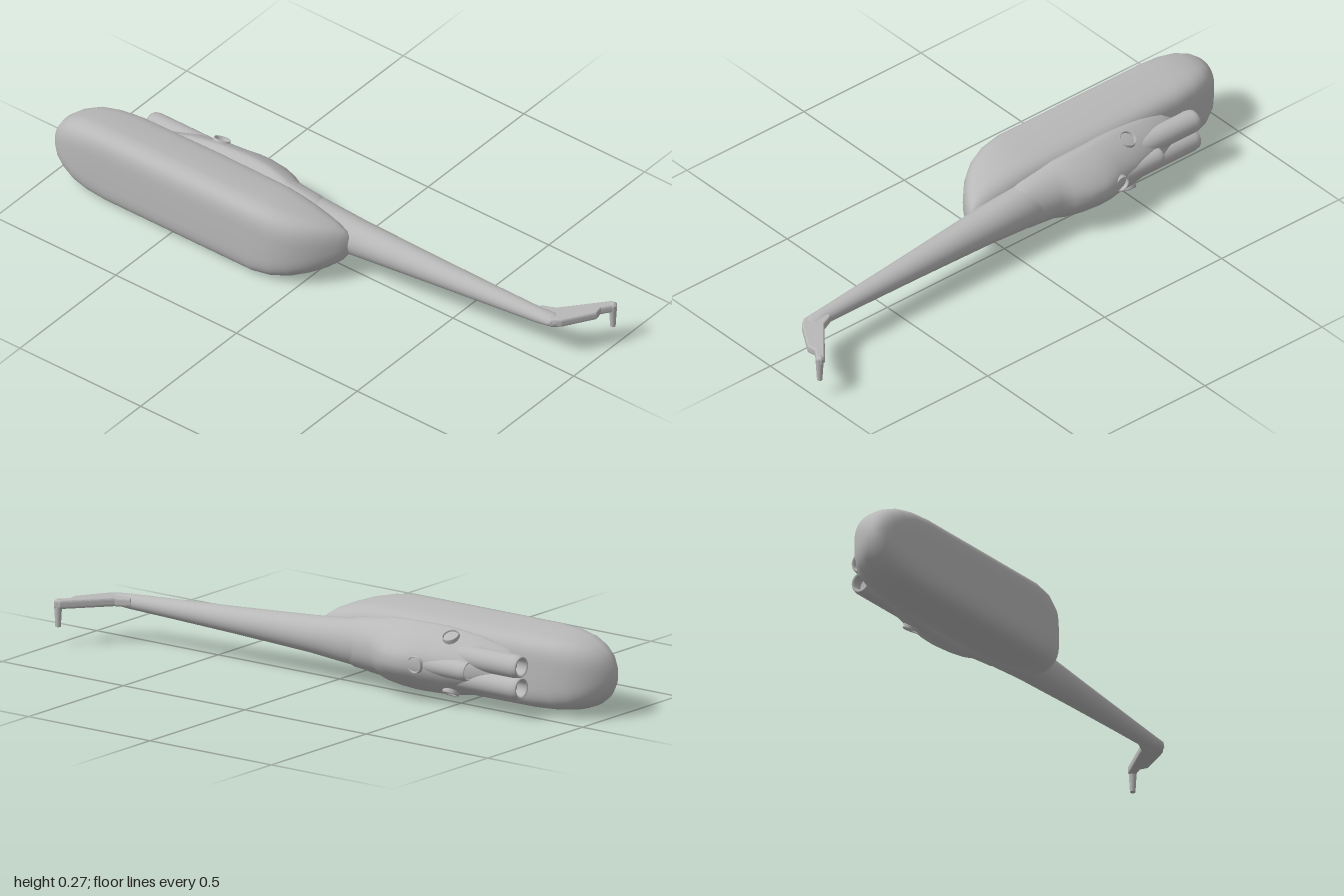
import * as THREE from 'three';

const grey = new THREE.MeshStandardMaterial({ color: 0xb8b8b8 });
grey.name = 'plain grey';
const CY = 0.137; // height of the centre plane

// Loft along x. Each section: [x, half width, roof z, belly z, squareness, roof taper, centre y]
function loft(sections, n = 56) {
  const pos = [], idx = [];
  const p = (v, e) => Math.sign(v) * Math.pow(Math.abs(v), e);
  for (const [x, w, z0, z1, e = 2, k = 0, cy = CY] of sections) {
    for (let j = 0; j < n; j++) {
      const t = (j / n) * Math.PI * 2;
      const v = p(Math.sin(t), 2 / e);
      const narrow = 1 - k * Math.max(0, 0.25 - v) / 1.25;
      pos.push(x, cy + p(Math.cos(t), 2 / e) * w * narrow, (z0 + z1) / 2 + v * (z1 - z0) / 2);
    }
  }
  const last = (sections.length - 1) * n, c = sections.length * n;
  for (let i = 0; i < last; i += n) {
    for (let j = 0; j < n; j++) {
      const k = (j + 1) % n;
      idx.push(i + j, i + k, i + n + j, i + k, i + n + k, i + n + j);
    }
  }
  // closed ends
  for (const s of [sections[0], sections[sections.length - 1]]) pos.push(s[0], s[6] ?? CY, (s[2] + s[3]) / 2);
  for (let j = 0; j < n; j++) {
    const k = (j + 1) % n;
    idx.push(c, k, j, c + 1, last + j, last + k);
  }
  const g = new THREE.BufferGeometry();
  g.setAttribute('position', new THREE.Float32BufferAttribute(pos, 3));
  g.setIndex(idx);
  g.computeVertexNormals();
  return g;
}

// Hollow-ended pipe standing on y = 0
function pipe(r, length, inner, depth) {
  const pts = [[r * 0.9, 0], [r, length * 0.3], [r, length - 0.02], [r * 0.9, length - 0.004],
    [(r + inner) / 2, length], [inner, length - 0.004], [inner, length - depth],
    [inner, length - depth], [0, length - depth]];
  return new THREE.LatheGeometry(pts.map(([a, b]) => new THREE.Vector2(a, b)), 32);
}

export function createModel() {
  const model = new THREE.Group();
  const add = (name, geometry, x = 0, y = 0, z = 0) => {
    const m = new THREE.Mesh(geometry, grey);
    m.name = name;
    m.position.set(x, y, z);
    model.add(m);
    return m;
  };

  // Cabin, belly towards +z, nose towards -x
  add('fuselage', loft([
    [-1, 0.02, 0.145, 0.18, 2.2, 0],
    [-0.993, 0.05, 0.122, 0.197, 2.4, 0],
    [-0.975, 0.08, 0.092, 0.212, 2.6, 0.05],
    [-0.945, 0.104, 0.06, 0.224, 3, 0.1],
    [-0.9, 0.122, 0.035, 0.234, 3.6, 0.12],
    [-0.84, 0.132, 0.02, 0.239, 4.2, 0.15],
    [-0.76, 0.137, 0.011, 0.24, 4.6, 0.17],
    [-0.45, 0.137, 0.006, 0.24, 4.6, 0.17],
    [-0.16, 0.136, 0.008, 0.24, 4.6, 0.17],
    [-0.09, 0.129, 0.01, 0.234, 4, 0.15],
    [-0.03, 0.116, 0.012, 0.214, 3.4, 0.12],
    [0.02, 0.099, 0.015, 0.18, 2.9, 0.08],
    [0.06, 0.08, 0.019, 0.138, 2.5, 0],
    [0.09, 0.058, 0.024, 0.094, 2.2, 0],
    [0.106, 0.032, 0.03, 0.062, 2, 0],
  ]));

  // Engine cowling on the roof
  add('engineCowling', loft([
    [-0.74, 0.035, -0.02, 0.05, 2.2, 0.3],
    [-0.68, 0.075, -0.05, 0.06, 2.3, 0.35],
    [-0.58, 0.1, -0.085, 0.06, 2.4, 0.4],
    [-0.48, 0.115, -0.105, 0.06, 2.4, 0.45],
    [-0.41, 0.118, -0.112, 0.06, 2.4, 0.45],
    [-0.37, 0.118, -0.126, 0.06, 2.4, 0.5],
    [-0.33, 0.118, -0.128, 0.06, 2.4, 0.5],
    [-0.27, 0.115, -0.12, 0.06, 2.4, 0.48],
    [-0.22, 0.11, -0.1, 0.06, 2.4, 0.4],
    [-0.18, 0.1, -0.076, 0.06, 2.3, 0.3],
    [-0.08, 0.085, -0.066, 0.06, 2.1, 0.1],
    [0, 0.06, -0.05, 0.05, 2, 0],
  ]));

  // Tapered tail boom
  add('tailBoom', loft([
    [-0.25, 0.09, -0.07, 0.07, 2.1, 0.1],
    [-0.05, 0.076, -0.068, 0.066, 2],
    [0.1, 0.062, -0.067, 0.054, 2],
    [0.4, 0.045, -0.068, 0.024, 2],
    [0.65, 0.033, -0.07, -0.001, 2],
    [0.82, 0.025, -0.073, -0.018, 2],
    [0.87, 0.02, -0.082, -0.022, 2, 0, 0.139],
    [0.895, 0.01, -0.075, -0.035, 2, 0, 0.14],
  ]));

  // Swept tail fin
  const fin = new THREE.Shape([
    [0.81, 0.06], [0.81, 0.072], [0.855, 0.092], [0.972, 0.23], [0.985, 0.234], [0.99, 0.226],
    [0.962, 0.185], [0.967, 0.155], [0.905, 0.055], [0.88, 0.034],
  ].map(([x, y]) => new THREE.Vector2(x, y)));
  const finGeo = new THREE.ExtrudeGeometry(fin, {
    depth: 0.01, bevelEnabled: true, bevelThickness: 0.01, bevelSize: 0.006, bevelSegments: 4,
  });
  finGeo.rotateX(-Math.PI / 2);
  add('tailFin', finGeo, 0, 0.135, 0);

  // Single stabiliser hanging from the fin tip
  add('stabiliser', new THREE.CylinderGeometry(0.014, 0.009, 0.085, 20), 0.983, 0.106, -0.226);
  add('stabiliserRoot', new THREE.SphereGeometry(0.014, 20, 12), 0.983, 0.144, -0.226);

  // Twin engine intakes and the central cooler intake, opening towards the nose
  for (const s of [-1, 1]) {
    add(s > 0 ? 'upperEngine' : 'lowerEngine', pipe(0.039, 0.42, 0.026, 0.04),
      -0.36, CY + s * 0.036, -0.038).rotation.z = Math.PI / 2;
    // Side exhausts
    add(s > 0 ? 'upperExhaust' : 'lowerExhaust', pipe(0.031, 0.05, 0.025, 0.02),
      -0.49, CY + s * 0.056, -0.022).rotation.x = s > 0 ? -0.47 : Math.PI + 0.47;
  }
  add('coolerIntake', pipe(0.034, 0.26, 0.025, 0.04), -0.335, CY, -0.077).rotation.z = Math.PI / 2;

  // Rotor mast socket
  add('mastSocket', pipe(0.03, 0.04, 0.024, 0.02), -0.4, CY, -0.084).rotation.x = -Math.PI / 2;

  return model;
}
